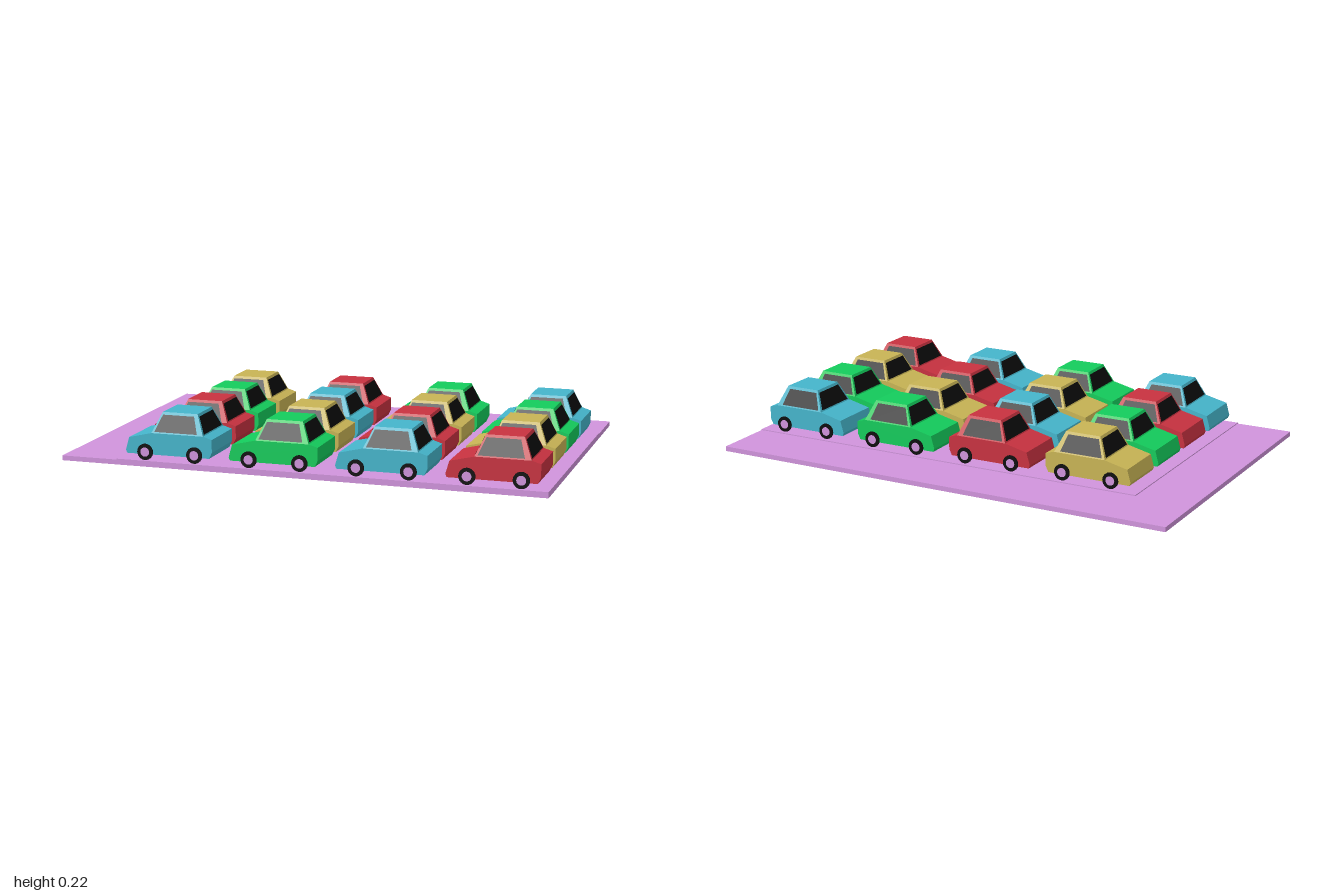
import * as THREE from 'three';

const mat = (color, side = THREE.FrontSide) => new THREE.MeshStandardMaterial({ color, flatShading: true, side });
const LILAC = mat(0xd094dc), BLACK = mat(0x0c0c0c), GLASS = mat(0x0c0c0c, THREE.DoubleSide);
const PAINT = { b: mat(0x45b5cb), g: mat(0x14cc5c), r: mat(0xc83240), y: mat(0xc8b455) };

// Side profile of the lower body, nose towards -x
const PROFILE = [[-0.18, 0.047], [-0.185, 0.06], [-0.17, 0.112], [-0.073, 0.135],
  [0.15, 0.135], [0.185, 0.124], [0.185, 0.072], [0.173, 0.047]];
const HALF = 0.11;
// Cabin: base and roof rectangles
const BASE = { x0: -0.073, x1: 0.148, z: HALF, y: 0.135 };
const ROOF = { x0: -0.036, x1: 0.113, z: 0.075, y: 0.217 };

function add(parent, name, geometry, material, x = 0, y = 0, z = 0) {
  const mesh = new THREE.Mesh(geometry, material);
  mesh.name = name;
  mesh.position.set(x, y, z);
  parent.add(mesh);
  return mesh;
}

function bodyGeometry() {
  const shape = new THREE.Shape(PROFILE.map(([x, y]) => new THREE.Vector2(x, y)));
  return new THREE.ExtrudeGeometry(shape, { depth: 2 * HALF, bevelEnabled: false }).translate(0, 0, -HALF);
}

// A box whose corners are moved onto the base and roof rectangles
function cabinGeometry() {
  const g = new THREE.BoxGeometry(1, 1, 1), p = g.attributes.position;
  for (let i = 0; i < p.count; i++) {
    const r = p.getY(i) > 0 ? ROOF : BASE;
    p.setXYZ(i, p.getX(i) > 0 ? r.x1 : r.x0, r.y, Math.sign(p.getZ(i)) * r.z);
  }
  g.computeVertexNormals();
  return g;
}

// Window pane inset in a sloping cabin face, just proud of it
function paneGeometry(a, b, c, d, u0, u1, v0, v1) {
  const normal = b.clone().sub(a).cross(d.clone().sub(a)).normalize().multiplyScalar(0.0015);
  const at = (u, v) => a.clone().lerp(b, u).lerp(d.clone().lerp(c, u), v).add(normal);
  const g = new THREE.BufferGeometry().setFromPoints([at(u0, v0), at(u1, v0), at(u1, v1), at(u0, v1)]);
  g.setIndex([0, 1, 2, 0, 2, 3]);
  g.computeVertexNormals();
  return g;
}

const corner = (r, right, front) => new THREE.Vector3(right ? r.x1 : r.x0, r.y, front ? r.z : -r.z);
// Each face is given by its lower left and lower right corners seen from outside
const WINDOWS = [
  ['leftWindow', [0, 1], [1, 1], 0.05, 0.89],
  ['rearWindow', [1, 1], [1, 0], 0.05, 0.95],
  ['rightWindow', [1, 0], [0, 0], 0.11, 0.95],
  ['windscreen', [0, 0], [0, 1], 0.05, 0.95],
].map(([name, s, e, u0, u1]) => [name, paneGeometry(
  corner(BASE, ...s), corner(BASE, ...e), corner(ROOF, ...e), corner(ROOF, ...s), u0, u1, 0.06, 0.87)]);

const BODY = bodyGeometry(), CABIN = cabinGeometry();
const TYRE = new THREE.CylinderGeometry(0.033, 0.033, 0.007, 24).rotateX(Math.PI / 2);
const HUB = new THREE.CylinderGeometry(0.019, 0.019, 0.008, 24).rotateX(Math.PI / 2);

function createCar(paint) {
  const car = new THREE.Group();
  car.name = 'car';
  add(car, 'body', BODY, paint);
  add(car, 'cabin', CABIN, paint);
  for (const [name, geometry] of WINDOWS) add(car, name, geometry, GLASS);
  for (const x of [-0.1, 0.111]) for (const side of [-1, 1]) {
    const wheel = new THREE.Group();
    wheel.name = x < 0 ? 'frontWheel' : 'rearWheel';
    wheel.position.set(x, 0.057, side * (HALF + 0.0035));
    add(wheel, 'tyre', TYRE, BLACK);
    add(wheel, 'hub', HUB, LILAC, 0, 0, side * 0.0005);
    car.add(wheel);
  }
  return car;
}

export function createModel() {
  const model = new THREE.Group();
  model.name = 'carPark';

  // Ground plate with a slightly raised parking slab
  add(model, 'groundPlate', new THREE.BoxGeometry(2, 0.02, 1.31), LILAC, 0, 0.01, 0);
  add(model, 'parkingSlab', new THREE.BoxGeometry(1.76, 0.004, 1.055), LILAC, 0.12, 0.022, 0.1275);

  // Four by four cars, back row first
  ['yrgb', 'gbyg', 'ryry', 'bgbr'].forEach((row, j) => {
    [...row].forEach((key, i) => {
      const car = createCar(PAINT[key]);
      car.position.set(-0.542 + i * 0.441, 0, -0.266 + j * 0.264);
      model.add(car);
    });
  });
  return model;
}
